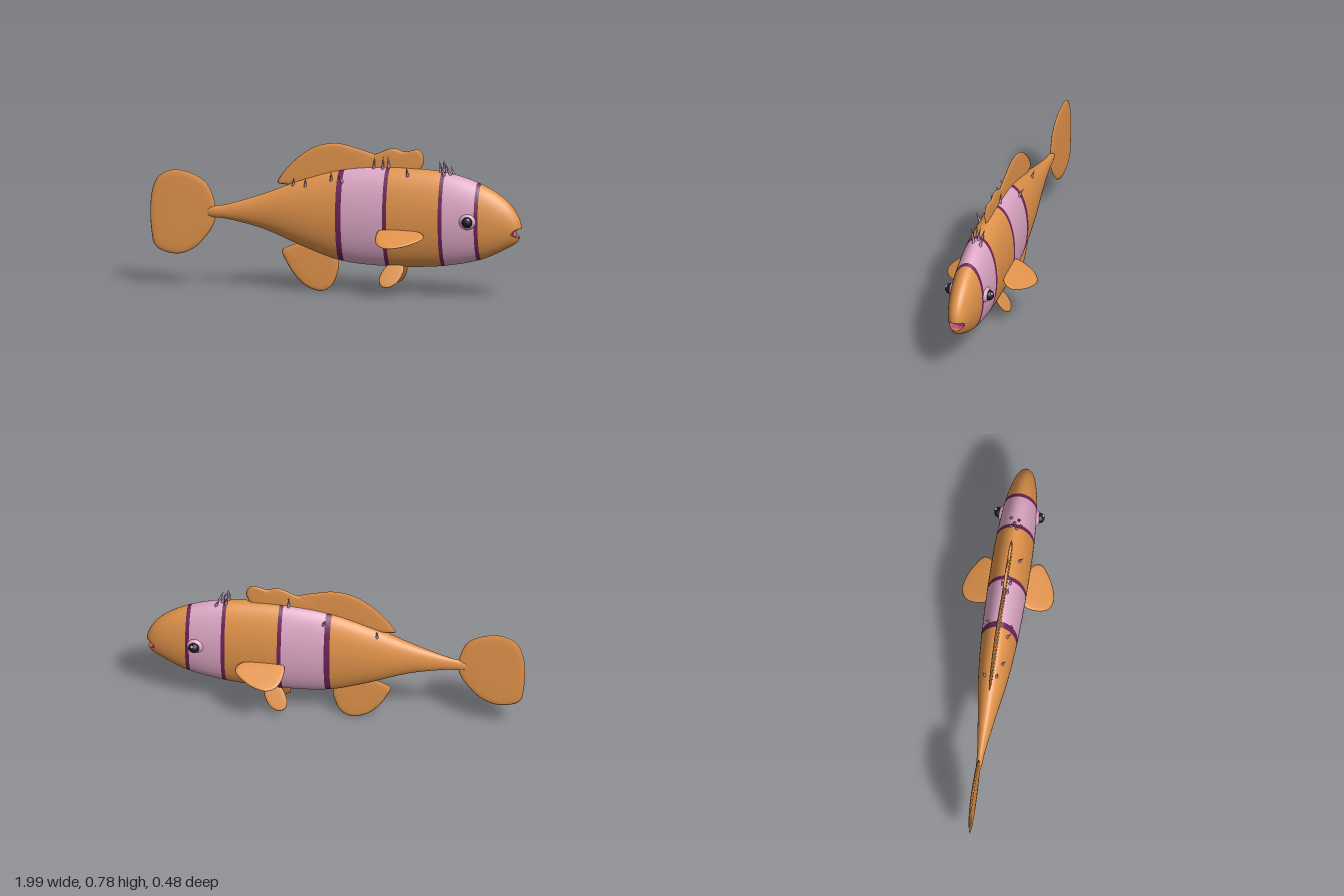
import * as THREE from 'three';

const mat = (name, color) => {
  const m = new THREE.MeshStandardMaterial({ color });
  m.name = name;
  return m;
};
const ORANGE = mat('orange skin', 0xe0924a);
const PINK = mat('pink band', 0xdca6c4);
const PURPLE = mat('purple edging', 0x6b2456);
const MOUTH = mat('mouth red', 0xb04c66);
const BLACK = mat('eye black', 0x1c1a1c);
const SPINE = mat('spine mauve', 0xb48ca8);

// Body profile: x, top, bottom, half width
const PROFILE = [
  [0.99, 0.372, 0.372, 0], [0.97, 0.445, 0.31, 0.033], [0.9, 0.53, 0.264, 0.061],
  [0.77, 0.605, 0.205, 0.086], [0.6, 0.655, 0.169, 0.099], [0.45, 0.67, 0.155, 0.103],
  [0.25, 0.673, 0.152, 0.102], [0.02, 0.648, 0.172, 0.094], [-0.2, 0.583, 0.245, 0.076],
  [-0.4, 0.504, 0.322, 0.047], [-0.6, 0.44, 0.366, 0.02], [-0.69, 0.421, 0.374, 0.012],
  [-0.71, 0.396, 0.396, 0],
];
const NOSE = 0.99;
const KEYS = PROFILE.map((p) => Math.sqrt(NOSE - p[0]));

// Smooth interpolation over sqrt(distance from nose), which keeps the snout round
function section(x) {
  const a = Math.sqrt(Math.max(0, NOSE - x));
  const last = KEYS.length - 1;
  let i = 0;
  while (i < last - 1 && a > KEYS[i + 1]) i++;
  const h = KEYS[i + 1] - KEYS[i], t = (a - KEYS[i]) / h;
  const value = (c) => {
    const slope = (k) => {
      const p = Math.max(0, k - 1), n = Math.min(last, k + 1);
      return (PROFILE[n][c] - PROFILE[p][c]) / (KEYS[n] - KEYS[p]);
    };
    return PROFILE[i][c] * (1 + 2 * t) * (1 - t) ** 2 + slope(i) * h * t * (1 - t) ** 2
      + PROFILE[i + 1][c] * t * t * (3 - 2 * t) + slope(i + 1) * h * t * t * (t - 1);
  };
  const top = value(1), bottom = value(2);
  return { mid: (top + bottom) / 2, half: (top - bottom) / 2, width: Math.max(0, value(3)) };
}

// Skins closed rings of points; pick() gives the material slot for each quad
function skin(rings, slots = 1, pick = () => 0) {
  const n = rings[0].length;
  const lists = Array.from({ length: slots }, () => []);
  for (let k = 0; k < rings.length - 1; k++) {
    for (let j = 0; j < n; j++) {
      const a = k * n + j, b = k * n + (j + 1) % n;
      lists[pick(k, j)].push(a, b, a + n, b, b + n, a + n);
    }
  }
  const geo = new THREE.BufferGeometry();
  geo.setAttribute('position', new THREE.Float32BufferAttribute(rings.flat(2), 3));
  geo.setIndex(lists.flat());
  let start = 0;
  lists.forEach((l, i) => { geo.addGroup(start, l.length, i); start += l.length; });
  geo.computeVertexNormals();
  return geo;
}

// Distance measure of the mouth opening: below 1 is inside
const mouthDistance = (y, z) => Math.abs((y - 0.355) / 0.022) ** 3 + Math.abs(z / 0.047) ** 3;

function makeBody() {
  // Stripe edges from tail to nose with the material slot and ring count of each stretch
  const spans = [[-0.71, 0.012, 0, 44], [0.012, 0.042, 2, 2], [0.042, 0.267, 1, 10],
    [0.267, 0.288, 2, 2], [0.288, 0.565, 0, 12], [0.565, 0.585, 2, 2],
    [0.585, 0.755, 1, 10], [0.755, 0.775, 2, 2], [0.775, NOSE, 0, 52]];
  const xs = [], slots = [], SEG = 112;
  for (const [x0, x1, slot, count] of spans) {
    const a0 = Math.sqrt(NOSE - x0), a1 = Math.sqrt(NOSE - x1);
    for (let i = 0; i < count; i++) {
      xs.push(NOSE - (a0 + (a1 - a0) * i / count) ** 2);
      slots.push(slot);
    }
  }
  xs.push(NOSE);
  const rings = xs.map((x) => {
    const s = section(x);
    return Array.from({ length: SEG }, (_, j) => {
      const t = j / SEG * Math.PI * 2;
      const y = s.mid + s.half * Math.cos(t), z = s.width * Math.sin(t);
      // push the mouth back into the snout
      const wall = 0.938 + 0.06 * THREE.MathUtils.smoothstep(mouthDistance(y, z), 0.35, 1.3);
      return [x > 0.9 ? Math.min(x, wall) : x, y, z];
    });
  });
  const pick = (k, j) => {
    const p = rings[k][j], q = rings[k + 1][(j + 1) % SEG];
    const inMouth = xs[k] > 0.9 && mouthDistance((p[1] + q[1]) / 2, (p[2] + q[2]) / 2) < 0.9;
    return inMouth ? 3 : slots[k];
  };
  return new THREE.Mesh(skin(rings, 4, pick), [ORANGE, PINK, PURPLE, MOUTH]);
}

// Thin fin with a rounded rim, from a smooth closed outline in x and y
function finGeometry(points, thick = 0.008) {
  const curve = new THREE.CatmullRomCurve3(points.map(([x, y]) => new THREE.Vector3(x, y, 0)), true);
  let outline = curve.getPoints(72).slice(0, -1);
  if (THREE.ShapeUtils.area(outline) < 0) outline.reverse();
  const box = new THREE.Box3().setFromPoints(outline);
  const c = box.getCenter(new THREE.Vector3());
  const steps = [[0, -1], [0.5, -1], [0.84, -0.9], [0.95, -0.55], [1, 0],
    [0.95, 0.55], [0.84, 0.9], [0.5, 1], [0, 1]];
  return skin(steps.map(([s, z]) => outline.map((p) =>
    [c.x + (p.x - c.x) * s, c.y + (p.y - c.y) * s, z * thick])));
}

export function createModel() {
  const group = new THREE.Group();
  const add = (name, geo, material, x = 0, y = 0, z = 0) => {
    const m = new THREE.Mesh(geo, material);
    m.name = name;
    m.position.set(x, y, z);
    group.add(m);
    return m;
  };

  const body = makeBody();
  body.name = 'body';
  group.add(body);

  // Fins on the centre line
  add('tailFin', finGeometry([[-0.652, 0.4], [-0.665, 0.47], [-0.7, 0.545], [-0.77, 0.592],
    [-0.88, 0.612], [-0.96, 0.575], [-0.997, 0.49], [-1, 0.3], [-0.975, 0.205], [-0.87, 0.17],
    [-0.78, 0.197], [-0.7, 0.275], [-0.66, 0.345]]), ORANGE);
  add('rearDorsalFin', finGeometry([[-0.32, 0.567], [-0.3, 0.61], [-0.21, 0.705], [-0.11, 0.768],
    [0, 0.787], [0.1, 0.767], [0.2, 0.737], [0.28, 0.7], [0.26, 0.6], [0, 0.53], [-0.2, 0.555],
    [-0.29, 0.56]]), ORANGE);
  add('frontDorsalFin', finGeometry([[0.03, 0.695], [0.2, 0.737], [0.3, 0.773], [0.36, 0.758],
    [0.44, 0.77], [0.465, 0.735], [0.46, 0.69], [0.4, 0.62], [0.1, 0.6]], 0.0085), ORANGE);
  add('analFin', finGeometry([[-0.297, 0.21], [-0.275, 0.155], [-0.23, 0.085], [-0.17, 0.03],
    [-0.09, 0.005], [-0.035, 0.03], [0, 0.1], [0.008, 0.16], [-0.02, 0.215], [-0.15, 0.26],
    [-0.27, 0.23]]), ORANGE);

  // Paired fins and eyes
  const pectoral = finGeometry([[0.25, 0], [0.246, -0.07], [0.27, -0.13], [0.32, -0.158],
    [0.38, -0.148], [0.45, -0.11], [0.5, -0.055], [0.48, -0.01], [0.4, 0.01], [0.3, 0.015]], 0.007);
  const pelvic = finGeometry([[0.27, 0], [0.24, -0.065], [0.25, -0.105], [0.285, -0.117],
    [0.33, -0.095], [0.365, -0.03], [0.36, 0.01], [0.31, 0.025]], 0.006);
  for (const [side, s] of [['right', 1], ['left', -1]]) {
    add(side + 'PectoralFin', pectoral, ORANGE, 0, 0.353, s * 0.1).rotation.x = -s * 1.1;
    add(side + 'PelvicFin', pelvic, ORANGE, 0, 0.154, s * 0.03).rotation.x = -s * 0.44;
    add(side + 'EyeRim', new THREE.SphereGeometry(1, 28, 20), PINK, 0.72, 0.415, s * 0.083)
      .scale.set(0.046, 0.042, 0.028);
    add(side + 'Eyeball', new THREE.SphereGeometry(0.028, 24, 16), BLACK, 0.724, 0.415, s * 0.104);
    add(side + 'EyeGlint', new THREE.SphereGeometry(0.008, 12, 8), PINK, 0.733, 0.431, s * 0.124);
  }

  // Spines: x, z, length, lean along x
  const spines = [[-0.23, -0.035, 0.055, 0], [-0.23, 0.025, 0.05, 0.1], [-0.16, 0.045, 0.055, 0.1],
    [-0.02, 0.05, 0.06, 0.1], [0.04, 0.06, 0.05, -0.5], [0.05, -0.055, 0.06, -0.3],
    [0.2, 0.015, 0.07, 0.1], [0.24, -0.012, 0.075, 0], [0.25, 0.022, 0.075, 0.1],
    [0.28, 0.008, 0.07, -0.1], [0.39, 0.05, 0.065, 0],
    [0.56, 0.01, 0.07, -0.1], [0.57, -0.02, 0.065, -0.15], [0.58, 0.028, 0.07, -0.25],
    [0.59, -0.006, 0.075, -0.3], [0.61, 0.015, 0.07, -0.4], [0.62, -0.025, 0.06, -0.4]];
  const up = new THREE.Vector3(0, 1, 0);
  for (const [x, z, length, lean] of spines) {
    const s = section(x);
    const y = s.mid + s.half * Math.sqrt(1 - (z / s.width) ** 2);
    const dir = new THREE.Vector3(lean, 1, z * 9).normalize();
    const geo = new THREE.ConeGeometry(0.009, length, 10).translate(0, length / 2 - 0.008, 0);
    add('spine', geo, SPINE, x, y, z).quaternion.setFromUnitVectors(up, dir);
  }
  return group;
}
